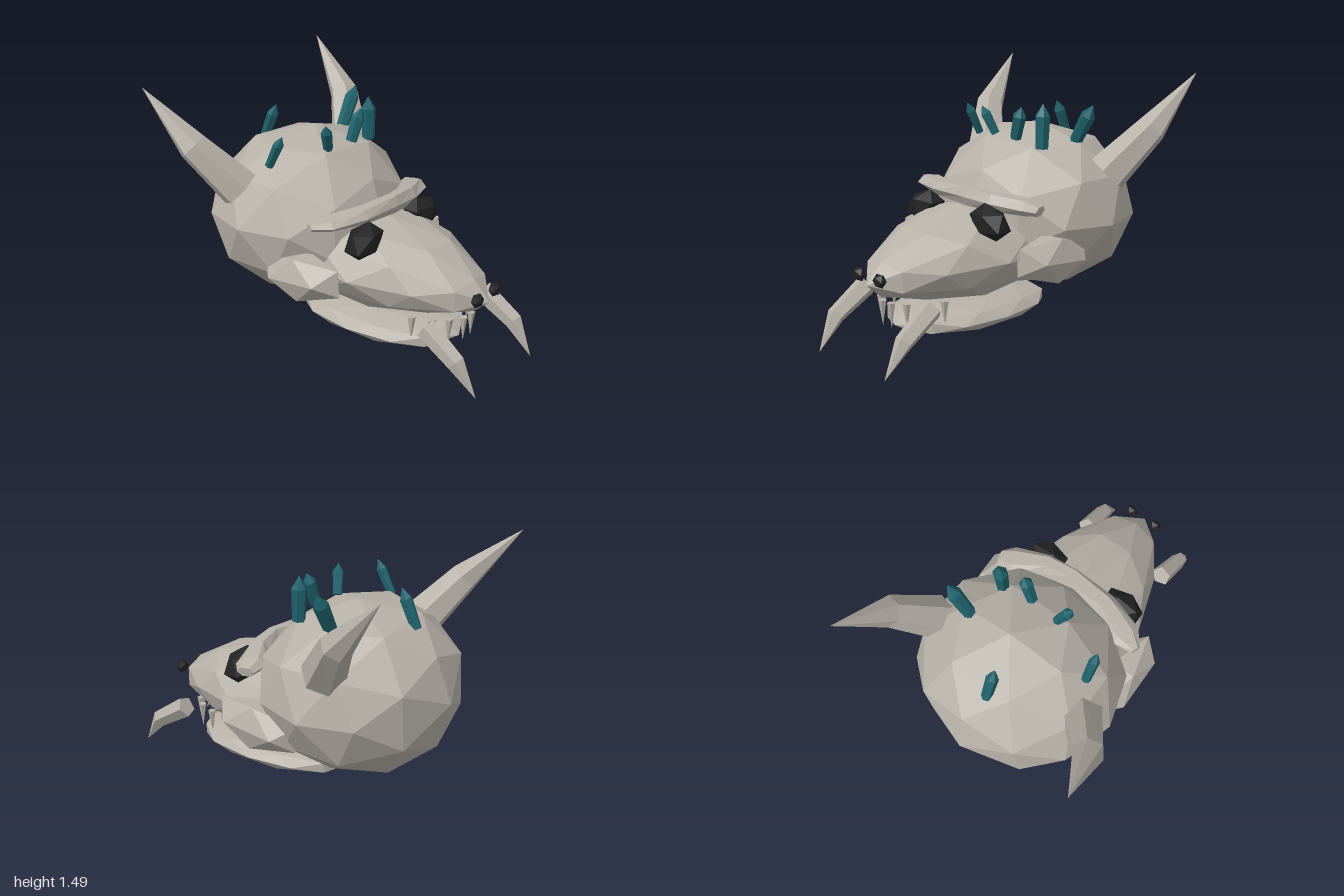
import * as THREE from 'three';

const mat = (name, color) => new THREE.MeshStandardMaterial({ name, color, flatShading: true });

// Skin rings around a spine; each radius is [towards reference axis, across it]
function loft(points, radii, sides, phase = 0) {
  const pts = points.map(p => new THREE.Vector3(...p));
  const rings = pts.map((p, i) => {
    const dir = pts[Math.min(i + 1, pts.length - 1)].clone().sub(pts[Math.max(i - 1, 0)]).normalize();
    const ref = Math.abs(dir.x) > 0.8 ? new THREE.Vector3(0, 0, 1) : new THREE.Vector3(1, 0, 0);
    const u = ref.addScaledVector(dir, -ref.dot(dir)).normalize();
    const v = dir.clone().cross(u);
    const [ru, rv] = radii[i];
    return Array.from({ length: sides }, (_, j) => {
      const a = phase + (j / sides) * Math.PI * 2;
      return p.clone().addScaledVector(u, Math.cos(a) * ru).addScaledVector(v, Math.sin(a) * rv);
    });
  });
  const tris = [];
  const last = rings.length - 1;
  for (let j = 0; j < sides; j++) {
    const k = (j + 1) % sides;
    for (let i = 0; i < last; i++) {
      const [a, b, c, d] = [rings[i][j], rings[i][k], rings[i + 1][k], rings[i + 1][j]];
      tris.push(a, b, d);
      if (c.distanceTo(d) > 1e-6) tris.push(b, c, d);
    }
    tris.push(pts[0], rings[0][k], rings[0][j]);
    if (rings[last][j].distanceTo(rings[last][k]) > 1e-6) tris.push(pts[last], rings[last][j], rings[last][k]);
  }
  const geo = new THREE.BufferGeometry().setFromPoints(tris);
  geo.computeVertexNormals();
  return geo;
}

// Round spike: loft with equal radii
const spike = (points, radii, sides, phase) => loft(points, radii.map(r => [r, r]), sides, phase);

// Faceted ellipsoid, optionally reshaped by a rule on the unit sphere
function blob(rx, ry, rz, detail, rule, roll = 0) {
  const geo = new THREE.IcosahedronGeometry(1, detail).rotateZ(roll);
  const p = geo.attributes.position;
  if (rule) for (let i = 0; i < p.count; i++) p.setXYZ(i, ...rule(p.getX(i), p.getY(i), p.getZ(i)));
  geo.scale(rx, ry, rz);
  geo.computeVertexNormals();
  return geo;
}

export function createModel() {
  const group = new THREE.Group();
  const bone = mat('bone', 0xb7b1a8);
  const black = mat('socketBlack', 0x222222);
  const teal = mat('crystalTeal', 0x1f626c);

  const add = (name, geo, material, x = 0, y = 0, z = 0) => {
    const m = new THREE.Mesh(geo, material);
    m.name = name;
    m.position.set(x, y, z);
    group.add(m);
    return m;
  };

  // Skull: sloping forehead, fuller low at the back
  add('cranium', blob(0.63, 0.5, 0.58, 1, (x, y, z) => [
    x,
    y < 0 && z < 0 ? y * (1 - 0.12 * z) : y,
    y > 0 && z > 0 ? z * (1 - 0.12 * y) : z,
  ], -0.08), bone, 0, 0.69, -0.42);

  // Muzzle narrows and drops to the front, its back half runs deep under the cranium
  add('snout', blob(0.41, 0.27, 0.68, 1, (x, y, z) => {
    const f = Math.max(z, 0);
    return [x * (1 - 0.33 * f), y * (y < 0 ? 1 - 0.3 * f : 1 - 0.5 * f * f) - 0.26 * f * f, z < 0 ? z * 1.3 : z];
  }), bone, 0, 0.505, 0.2);

  // Shallow jaw with flat top and bottom and blunt ends
  add('lowerJaw', blob(0.345, 0.082, 0.55, 1, (x, y, z) => [
    x * (1 + 0.15 * z * z),
    THREE.MathUtils.clamp(y / 0.85, -1, 1),
    z,
  ]), bone, 0, 0.163, 0.14);

  // Brow ridge, bowed forward in the middle
  add('browRidge', loft(
    [[-0.5, 0.82, 0.01], [-0.4, 0.82, 0.05], [-0.2, 0.825, 0.135], [0.05, 0.825, 0.165],
      [0.22, 0.815, 0.14], [0.4, 0.8, 0.05], [0.48, 0.785, 0.03]],
    [[0.03, 0.02], [0.09, 0.037], [0.07, 0.05], [0.05, 0.062], [0.065, 0.058], [0.09, 0.048], [0.05, 0.03]],
    6), bone);

  // Mirrored parts
  for (const s of [1, -1]) {
    const side = s > 0 ? 'left' : 'right';
    add(side + 'Cheekbone', blob(0.135, 0.15, 0.31, 0), bone, s * 0.485, 0.495, -0.06).rotation.x = -0.1;
    add(side + 'Eye', blob(0.142, 0.1, 0.095, 0), black, s * 0.272, 0.717, 0.215).rotation.z = -s * 0.32;
    add(side + 'Nostril', blob(0.045, 0.043, 0.034, 0), black, s * 0.088, 0.477, 0.858);
    add(side + 'Horn', spike(
      [[s * 0.5, 0.92, -0.51], [s * 0.665, 1.18, -0.7], [s * 0.75, 1.49, -1]],
      [0.125, 0.09, 0], 6), bone);
    add(side + 'Tusk', spike(
      [[s * 0.285, 0.325, 0.66], [s * 0.297, 0.19, 0.87], [s * 0.287, 0.005, 1]],
      [0.064, 0.053, 0], 5), bone);
    // Upper teeth along the muzzle edge
    const teeth = [[0.038, 0.74], [0.11, 0.69], [0.178, 0.62], [0.218, 0.51]];
    teeth.forEach(([x, z], i) => add(side + 'Tooth' + (i + 1),
      new THREE.ConeGeometry(0.025, 0.15, 5).rotateX(Math.PI), bone, s * x, 0.24, z));
  }

  // Crystals on the crown: base, tip, radius
  const crystals = [
    [[-0.41, 1.07, -0.36], [-0.41, 1.265, -0.255], 0.031],
    [[-0.095, 1.12, -0.19], [-0.167, 1.285, -0.145], 0.033],
    [[-0.03, 1.06, -0.75], [-0.028, 1.28, -0.65], 0.036],
    [[0.09, 1.12, -0.17], [0.155, 1.31, -0.15], 0.04],
    [[0.28, 1.08, -0.19], [0.282, 1.34, -0.195], 0.045],
    [[0.32, 1.09, -0.43], [0.455, 1.325, -0.43], 0.044],
  ];
  crystals.forEach(([base, tip, r], i) => {
    const shoulder = base.map((b, k) => b + (tip[k] - b) * 0.72);
    add('crystal' + (i + 1), spike([base, shoulder, tip], [r * 0.85, r, 0], 6, 0.4), teal);
  });

  return group;
}
